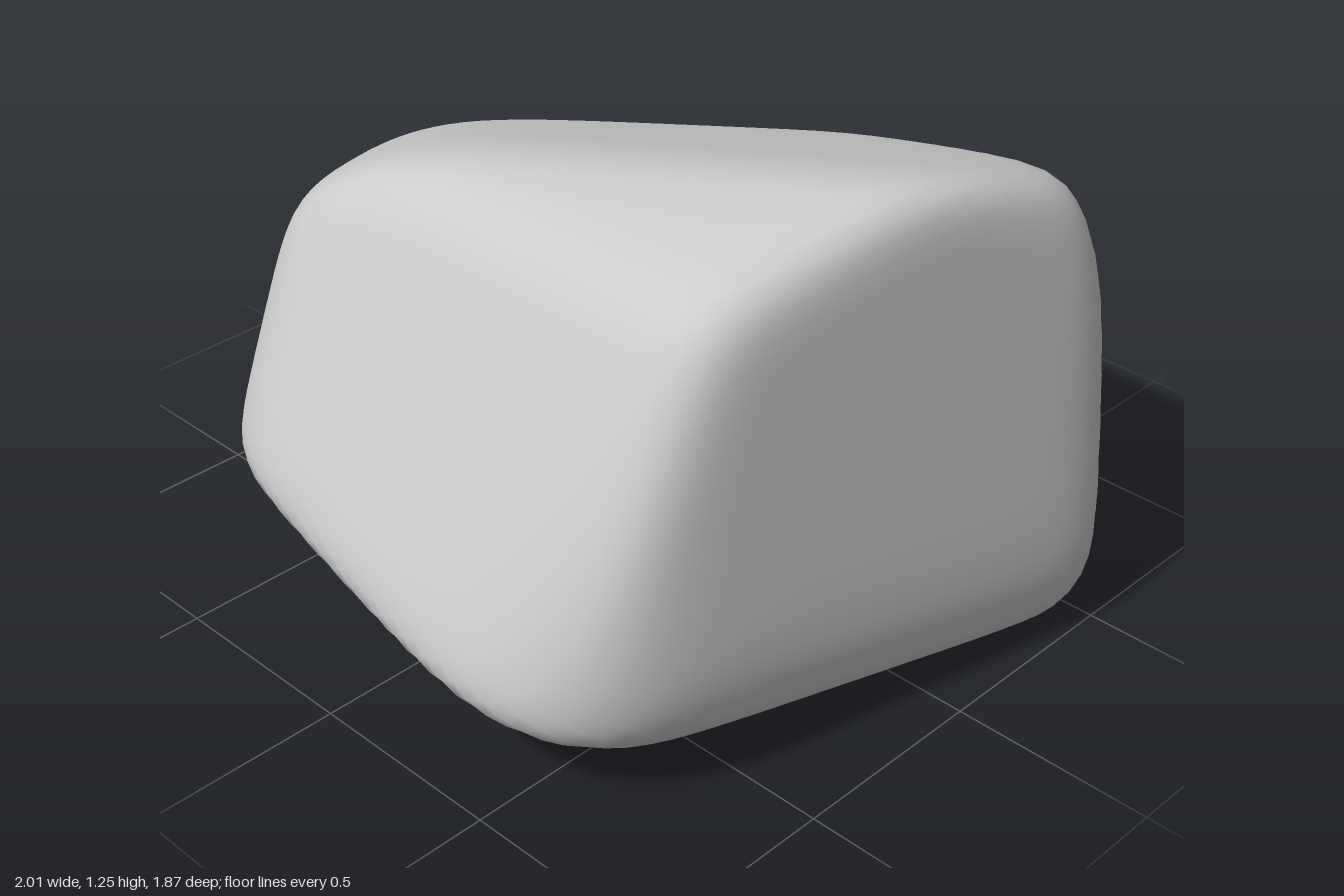
import * as THREE from 'three';
import { mergeVertices } from 'three/addons/utils/BufferGeometryUtils.js';

const CENTER = new THREE.Vector3(0.05, 0.6, 0);
const SHARPNESS = 15; // higher gives tighter rounded edges

// Facets of the boulder: nx, ny, nz, d for the plane n . p = d
const FACETS = [
  [-0.15, -1, 0.09, -0.16],   // underside
  [-0.2, -0.8, 0.6, 0.36],    // lower front bevel
  [0.13, -0.7, -0.7, 0.47],   // lower back bevel
  [0.7, -0.7, 0.216, 0.57],   // lower left bevel
  [-0.25, 1, -0.3, 1.1],      // broad sloping top
  [-0.06, 1, 0.25, 1.275],    // top bevel towards the front
  [-0.6, 1, 0.05, 1.36],      // top bevel towards the right
  [-0.6, 1, -0.8, 1.55],      // top bevel towards the rear right
  [0.6, 0.7, -0.5, 1.55],     // upper rear left corner
  [-0.07, 0.466, 1, 1.085],   // leaning front
  [1, 0.08, 0.19, 0.96],      // left side
  [0.307, 0.02, -1, 0.84],    // back
  [-0.87, 0.25, -0.5, 1.085], // right side, rear part
  [-0.45, 0, -0.89, 1.08],    // rear right corner
  [-0.82, 0.2, 0.57, 1.02],   // right side, front part
  [-1, 0, 0, 1.04],           // blunt tip between them
  [0.52, 0, 0.85, 1.09],      // front corner chamfer
].map(([x, y, z, d]) => {
  const normal = new THREE.Vector3(x, y, z);
  return normal.divideScalar(d - normal.dot(CENTER));
});

// Distance from the centre to the rounded surface: a smooth minimum over all facets
function surfaceDistance(dir) {
  let sum = 0;
  for (const facet of FACETS) sum += Math.max(0, facet.dot(dir)) ** SHARPNESS;
  return sum ** (-1 / SHARPNESS);
}

export function createModel() {
  const group = new THREE.Group();
  group.name = 'boulder';

  // Unit sphere with shared vertices, pushed out to the facets
  const sphere = new THREE.IcosahedronGeometry(1, 26);
  sphere.deleteAttribute('uv');
  sphere.deleteAttribute('normal');
  const geometry = mergeVertices(sphere, 1e-4);
  const pos = geometry.attributes.position;
  const v = new THREE.Vector3();
  for (let i = 0; i < pos.count; i++) {
    v.fromBufferAttribute(pos, i).normalize();
    v.multiplyScalar(surfaceDistance(v)).add(CENTER);
    pos.setXYZ(i, v.x, v.y, v.z);
  }
  geometry.computeVertexNormals();

  const rock = new THREE.Mesh(geometry, new THREE.MeshStandardMaterial({ color: 0xcccccc }));
  rock.name = 'rock';
  group.add(rock);
  return group;
}
